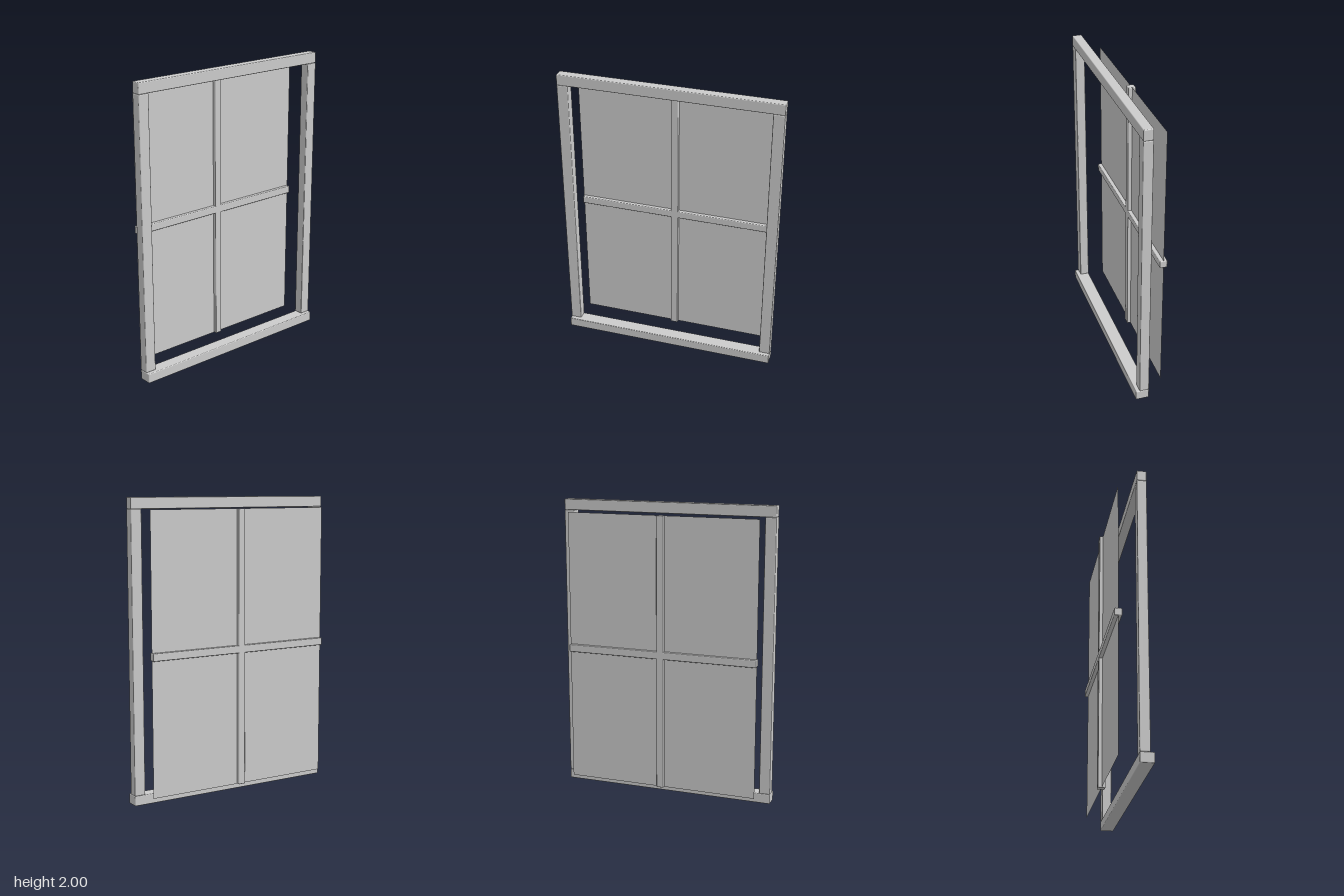
import * as THREE from 'three';
import { RoundedBoxGeometry } from 'three/addons/geometries/RoundedBoxGeometry.js';

const material = new THREE.MeshStandardMaterial({ color: 0xcccccc });
const glassMaterial = new THREE.MeshStandardMaterial({ color: 0xcccccc, side: THREE.DoubleSide });

// Softly rounded bar given by its minimum and maximum corners
function bar(name, [x0, y0, z0], [x1, y1, z1]) {
  const geometry = new RoundedBoxGeometry(x1 - x0, y1 - y0, z1 - z0, 2, 0.006);
  const mesh = new THREE.Mesh(geometry, material);
  mesh.name = name;
  mesh.position.set((x0 + x1) / 2, (y0 + y1) / 2, (z0 + z1) / 2);
  return mesh;
}

export function createModel() {
  const model = new THREE.Group();
  model.name = 'window';

  // Outer frame: head, deeper sill and two jambs
  const frame = new THREE.Group();
  frame.name = 'frame';
  frame.add(bar('head', [-0.74, 1.926, 0.022], [0.74, 2, 0.087]));
  frame.add(bar('sill', [-0.74, 0, 0.022], [0.74, 0.067, 0.112]));
  frame.add(bar('rightJamb', [-0.74, 0.067, 0.022], [-0.665, 1.926, 0.087]));
  frame.add(bar('leftJamb', [0.665, 0.067, 0.022], [0.74, 1.926, 0.087]));

  // Sash set behind the frame: crossing glazing bars and a thin pane
  const sash = new THREE.Group();
  sash.name = 'sash';
  sash.add(bar('verticalGlazingBar', [-0.025, 0.069, -0.112], [0.025, 1.924, -0.062]));
  sash.add(bar('horizontalGlazingBar', [-0.662, 0.971, -0.112], [0.662, 1.022, -0.062]));
  const pane = new THREE.Mesh(new THREE.PlaneGeometry(1.324, 1.855), glassMaterial);
  pane.name = 'glassPane';
  pane.position.set(0, 0.9965, -0.087);
  sash.add(pane);

  model.add(frame, sash);
  return model;
}
